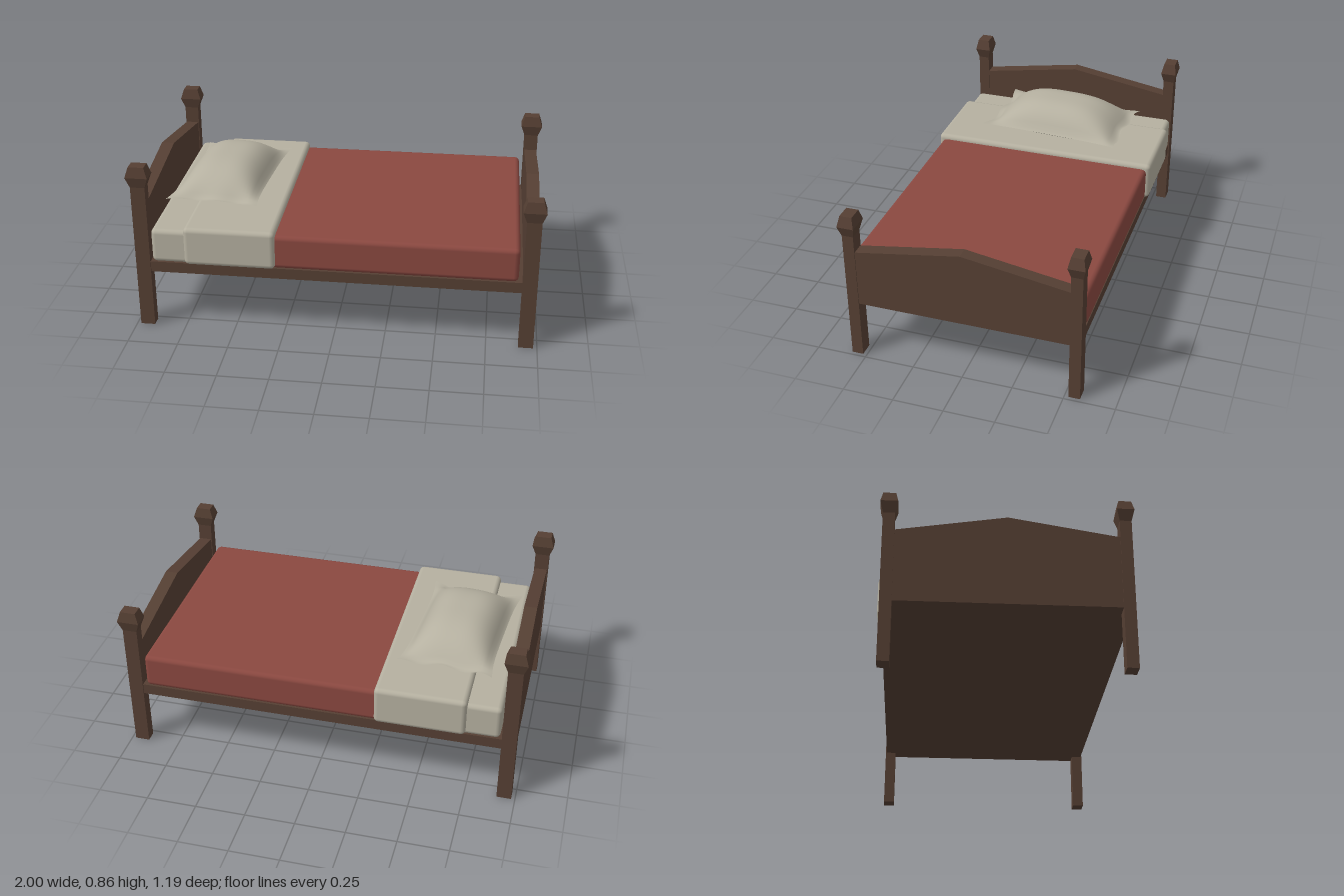
import * as THREE from 'three';
import { RoundedBoxGeometry } from 'three/addons/geometries/RoundedBoxGeometry.js';

const wood = new THREE.MeshStandardMaterial({ color: 0x553f33, flatShading: true });
const linen = new THREE.MeshStandardMaterial({ color: 0xb5b0a0 });
const pillowCloth = new THREE.MeshStandardMaterial({ color: 0xb5b0a0, side: THREE.DoubleSide });
const red = new THREE.MeshStandardMaterial({ color: 0x8a4840 });

const POST_X = 0.945, POST_Z = 0.548;

function add(parent, name, geometry, material, x = 0, y = 0, z = 0) {
  const mesh = new THREE.Mesh(geometry, material);
  mesh.name = name;
  mesh.position.set(x, y, z);
  parent.add(mesh);
  return mesh;
}

// Four-sided tapered block, standing on y = 0, with unequal x and z widths
function taper(bottom, top, h) {
  const g = new THREE.CylinderGeometry(Math.SQRT1_2, Math.SQRT1_2, h, 4).toNonIndexed();
  g.rotateY(Math.PI / 4);
  const p = g.attributes.position;
  for (let i = 0; i < p.count; i++) {
    const [w, d] = p.getY(i) > 0 ? top : bottom;
    p.setXYZ(i, p.getX(i) * w, p.getY(i) + h / 2, p.getZ(i) * d);
  }
  g.computeVertexNormals();
  return g;
}

// Square post with a faceted finial
function makePost(x, z, h) {
  const post = new THREE.Group();
  post.name = 'post';
  const thin = [0.072, 0.056], wide = [0.11, 0.082];
  add(post, 'leg', new THREE.BoxGeometry(thin[0], h, thin[1]), wood, 0, h / 2, 0);
  add(post, 'finialLower', taper(thin, wide, 0.053), wood, 0, h, 0);
  add(post, 'finialUpper', taper(wide, [0.076, 0.06], 0.053), wood, 0, h + 0.053, 0);
  post.position.set(x, 0, z);
  return post;
}

// Panel with a peaked top, spanning between two posts
function makeBoard(edgeY, peakY) {
  const s = new THREE.Shape();
  s.moveTo(-0.53, 0.3);
  s.lineTo(0.53, 0.3);
  s.lineTo(0.53, edgeY);
  s.lineTo(0, peakY);
  s.lineTo(-0.53, edgeY);
  const g = new THREE.ExtrudeGeometry(s, { depth: 0.064, bevelEnabled: false });
  g.translate(0, 0, -0.032);
  g.rotateY(Math.PI / 2);
  return g;
}

// Cushion half: domed sheet with pinched-in sides and a flat rim
function pillowHalf(height) {
  const g = new THREE.PlaneGeometry(2, 2, 24, 32);
  g.rotateX(-Math.PI / 2);
  const p = g.attributes.position;
  const dome = (t, rim) => Math.max(0, 1 - Math.pow(Math.abs(t) / rim, 3));
  for (let i = 0; i < p.count; i++) {
    const u = p.getX(i), v = p.getZ(i);
    const x = u * (0.236 - 0.022 * (1 - v ** 4) * u * u);
    const z = v * (0.38 - 0.022 * (1 - u ** 4) * v * v);
    const ripple = 0.006 * Math.sin(u * 7 + 1) * v ** 6;
    p.setXYZ(i, x, height * dome(u, 0.95) * dome(v, 0.93) + ripple, z + ripple);
  }
  // Reverse the winding of the underside so that it faces down
  if (height < 0) {
    const a = g.index.array;
    for (let i = 0; i < a.length; i += 3) [a[i], a[i + 1]] = [a[i + 1], a[i]];
  }
  g.computeVertexNormals();
  return g;
}

// Soft-edged block from its limits in x and y and its half depth
function softBlock(parent, name, material, x0, x1, y0, y1, halfZ) {
  const g = new RoundedBoxGeometry(x1 - x0, y1 - y0, halfZ * 2, 2, 0.024);
  return add(parent, name, g, material, (x0 + x1) / 2, (y0 + y1) / 2, 0);
}

export function createModel() {
  const bed = new THREE.Group();
  bed.name = 'bed';

  // Wooden frame
  const frame = new THREE.Group();
  frame.name = 'frame';
  bed.add(frame);
  for (const z of [-POST_Z, POST_Z]) {
    frame.add(makePost(-POST_X, z, 0.754));
    frame.add(makePost(POST_X, z, 0.678));
  }
  add(frame, 'headboard', makeBoard(0.665, 0.752), wood, -POST_X);
  add(frame, 'footboard', makeBoard(0.59, 0.676), wood, POST_X);
  add(frame, 'base', new THREE.BoxGeometry(1.85, 0.055, 1.14), wood, 0, 0.3275, 0);

  // Bedding
  softBlock(bed, 'mattress', linen, -0.9, -0.5, 0.355, 0.53, 0.573);
  softBlock(bed, 'blanket', red, -0.55, 0.89, 0.355, 0.53, 0.573);
  softBlock(bed, 'foldedSheet', linen, -0.735, -0.285, 0.357, 0.555, 0.594);

  // Pillow, lying slightly askew
  const pillow = new THREE.Group();
  pillow.name = 'pillow';
  add(pillow, 'pillowTop', pillowHalf(0.13), pillowCloth);
  add(pillow, 'pillowBottom', pillowHalf(-0.055), pillowCloth);
  pillow.position.set(-0.615, 0.59, -0.02);
  pillow.rotation.y = -0.07;
  bed.add(pillow);

  return bed;
}
